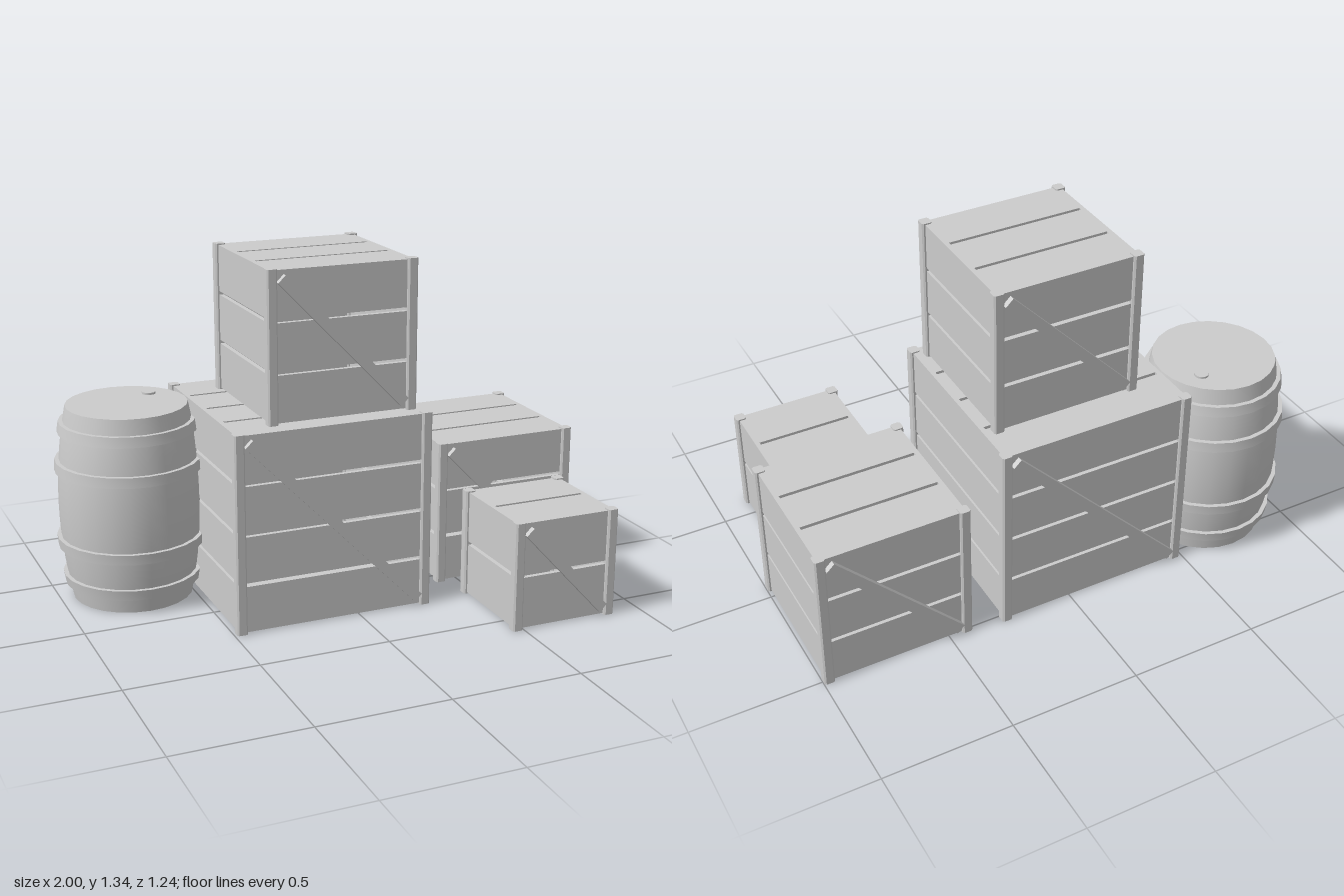
import * as THREE from 'three';
import { toCreasedNormals } from 'three/addons/utils/BufferGeometryUtils.js';

const grey = new THREE.MeshStandardMaterial({ color: 0xcccccc });
grey.name = 'plain grey';

function add(parent, name, geometry, x = 0, y = 0, z = 0) {
  const mesh = new THREE.Mesh(geometry, grey);
  mesh.name = name;
  mesh.position.set(x, y, z);
  parent.add(mesh);
  return mesh;
}

// Upright post with a chamfered square section
function postGeometry(width, height, c = 0.006) {
  const a = width / 2, b = a - c;
  const shape = new THREE.Shape([
    [a, -b], [a, b], [b, a], [-b, a], [-a, b], [-a, -b], [-b, -a], [b, -a],
  ].map(([x, y]) => new THREE.Vector2(x, y)));
  const g = new THREE.ExtrudeGeometry(shape, { depth: height, bevelEnabled: false });
  return g.rotateX(-Math.PI / 2);
}

// Hollow crate: gapped planks on four walls and the lid, solid floor
function crate(name, size, height, planks) {
  const group = new THREE.Group();
  group.name = name;
  const post = 0.04, gap = 0.014, inset = 0.012, thick = 0.018;
  const half = size / 2, wall = half - inset, low = 0.005, high = height - 0.005;

  // Corner posts
  const postShape = postGeometry(post, height);
  for (const sx of [-1, 1]) for (const sz of [-1, 1]) {
    add(group, 'cornerPost', postShape, sx * (half - post / 2), 0, sz * (half - post / 2));
  }

  // Wall planks
  const step = (high - low + gap) / planks;
  for (let side = 0; side < 4; side++) {
    const panel = new THREE.Group();
    panel.name = 'wall';
    panel.rotation.y = side * Math.PI / 2;
    for (let i = 0; i < planks; i++) {
      add(panel, 'wallPlank', new THREE.BoxGeometry(2 * (wall - thick), step - gap, thick),
        0, low + step * i + (step - gap) / 2, wall - thick / 2);
    }
    group.add(panel);

    // Diagonal braces on the front and back
    if (side % 2 === 0) {
      const dx = size - 2 * post - 0.025, dy = height - 0.07;
      const brace = add(panel, 'diagonalBrace',
        new THREE.BoxGeometry(Math.hypot(dx, dy), 0.04, 0.022), 0, height / 2, half - 0.002);
      brace.rotation.z = -Math.atan2(dy, dx);
    }
  }

  // Lid planks
  const lidStep = (2 * wall + gap) / planks;
  for (let i = 0; i < planks; i++) {
    add(group, 'lidPlank', new THREE.BoxGeometry(2 * wall, thick, lidStep - gap),
      0, high - thick / 2, -wall + lidStep * i + (lidStep - gap) / 2);
  }

  // Floor
  add(group, 'floorPanel', new THREE.BoxGeometry(2 * wall, thick, 2 * wall), 0, low + thick / 2, 0);
  return group;
}

// Bulging barrel with four hoops and a small bung on the lid
function barrel() {
  const group = new THREE.Group();
  group.name = 'barrel';
  const height = 0.762, sides = 24;
  const radius = (y) => 0.272 - 0.04 * Math.pow(Math.abs(y / height - 0.5) * 2, 2);

  const profile = [new THREE.Vector2(0, 0)];
  for (let i = 0; i <= 10; i++) {
    const y = height * i / 10;
    profile.push(new THREE.Vector2(radius(y), y));
  }
  profile.push(new THREE.Vector2(0, height));
  add(group, 'barrelBody', toCreasedNormals(new THREE.LatheGeometry(profile, sides), 0.6));

  for (const y of [0.08, 0.23, height - 0.23, height - 0.08]) {
    const a = y - 0.02, b = y + 0.02, out = 0.016;
    const ring = [
      [radius(a) - 0.01, a], [radius(a) + out, a],
      [radius(b) + out, b], [radius(b) - 0.01, b],
    ].map(([r, h]) => new THREE.Vector2(r, h));
    add(group, 'hoop', toCreasedNormals(new THREE.LatheGeometry(ring, sides), 0.6));
  }

  add(group, 'bung', new THREE.CylinderGeometry(0.027, 0.027, 0.016, 12), 0.115, height, -0.09);
  return group;
}

export function createModel() {
  const model = new THREE.Group();
  model.name = 'cratesAndBarrel';

  const crates = [
    ['largeCrate', 0.78, 0.765, 4, -0.1, 0, -0.146],
    ['topCrate', 0.588, 0.57, 3, -0.045, 0.767, -0.105],
    ['sideCrate', 0.59, 0.572, 3, 0.703, 0, -0.224],
    ['smallCrate', 0.43, 0.42, 2, 0.67, 0, 0.39],
  ];
  for (const [name, size, height, planks, x, y, z] of crates) {
    const c = crate(name, size, height, planks);
    c.position.set(x, y, z);
    model.add(c);
  }

  const b = barrel();
  b.position.set(-0.715, 0, -0.339);
  model.add(b);
  return model;
}
